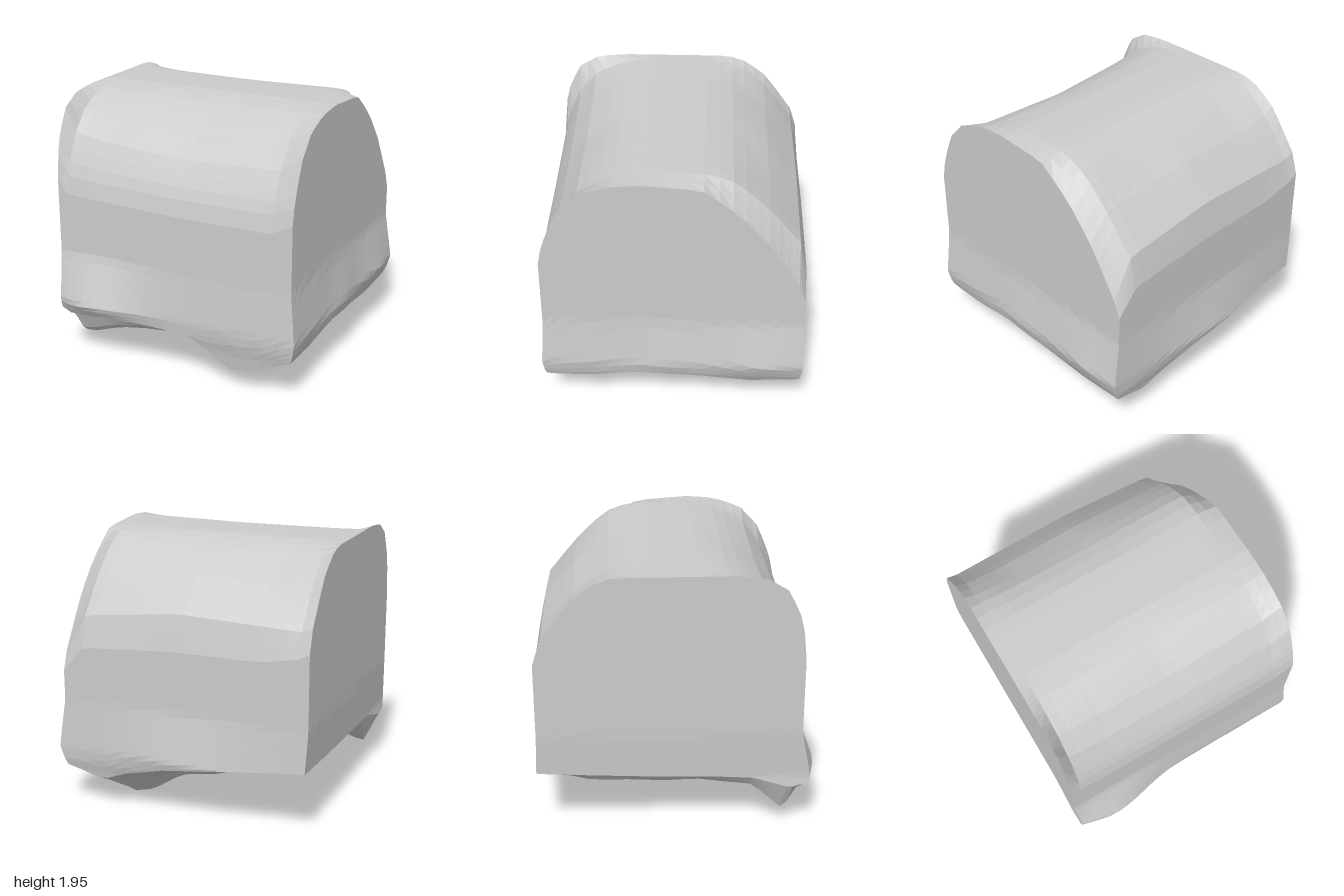
import * as THREE from 'three';

// Blend linearly through a small grid of heights: rows along z, columns along x
function span(knots, t) {
  let i = 0;
  while (i < knots.length - 2 && t > knots[i + 1]) i++;
  return [i, THREE.MathUtils.clamp((t - knots[i]) / (knots[i + 1] - knots[i]), 0, 1)];
}
function sample(grid, x, z) {
  const [i, a] = span(grid.xs, x);
  const [j, b] = span(grid.zs, z);
  const row = (r) => THREE.MathUtils.lerp(r[i], r[i + 1], a);
  return THREE.MathUtils.lerp(row(grid.rows[j]), row(grid.rows[j + 1]), b);
}

// Rounded top: raised lips at both ends, bevelled at one back corner
const top = {
  xs: [-0.95, -0.87, -0.6, 0, 0.72, 0.88],
  zs: [-0.95, -0.9, -0.7, -0.55, -0.4, -0.22, 0.2, 0.4, 0.6, 0.75, 0.85, 0.88],
  rows: [
    [1.34, 1.3, 1.25, 1.25, 1.2, 1.02],
    [1.5, 1.47, 1.48, 1.5, 1.42, 1.15],
    [1.78, 1.73, 1.7, 1.72, 1.66, 1.47],
    [1.9, 1.86, 1.81, 1.82, 1.81, 1.65],
    [1.95, 1.93, 1.91, 1.9, 1.92, 1.79],
    [1.95, 1.95, 1.95, 1.95, 1.95, 1.92],
    [1.95, 1.95, 1.95, 1.95, 1.95, 1.95],
    [1.95, 1.92, 1.91, 1.89, 1.91, 1.93],
    [1.93, 1.83, 1.8, 1.76, 1.8, 1.86],
    [1.84, 1.66, 1.62, 1.58, 1.6, 1.7],
    [1.62, 1.42, 1.4, 1.38, 1.38, 1.45],
    [1.34, 1.25, 1.24, 1.22, 1.22, 1.3],
  ],
};

// Broken underside: low points under three corners, hollows between
const base = {
  xs: [-0.95, -0.87, -0.6, -0.3, 0.1, 0.42, 0.62, 0.88],
  zs: [-0.95, -0.6, -0.2, 0.2, 0.55, 0.81, 0.88],
  rows: [
    [0.51, 0.51, 0.48, 0.45, 0.39, 0.3, 0.22, 0.3],
    [0.49, 0.42, 0.37, 0.31, 0.19, 0.06, -0.01, 0.27],
    [0.47, 0.41, 0.36, 0.31, 0.25, 0.16, 0.16, 0.33],
    [0.46, 0.4, 0.36, 0.33, 0.27, 0.19, 0.22, 0.36],
    [0.44, 0.35, 0.31, 0.31, 0.28, 0.1, 0.13, 0.3],
    [0.36, 0.12, 0.2, 0.28, 0.33, 0.12, 0.14, 0.3],
    [0.38, 0.34, 0.38, 0.37, 0.35, 0.14, 0.16, 0.31],
  ],
};

const bell = (t, centre, width) => Math.exp(-(((t - centre) / width) ** 2));

function blockGeometry() {
  const g = new THREE.BoxGeometry(2, 2, 2, 24, 16, 28);
  const p = g.attributes.position;
  for (let k = 0; k < p.count; k++) {
    const u = p.getX(k), v = p.getY(k), w = p.getZ(k);
    let x = -0.035 + 0.915 * u;
    let z = -0.035 + 0.915 * Math.sin(w * Math.PI / 2); // finer rows near front and back
    const hi = sample(top, x, z);
    const inner = (1 - u * u) * (1 - w * w);
    const lo = sample(base, x, z) + 0.04 * inner * Math.sin(9 * x + 4 * z) * Math.sin(11 * z - 3 * x);
    const y = lo + (hi - lo) * ((v + 1) / 2) ** 1.4;

    // Lower walls swell outward, then tuck in under the rim
    const swell = Math.max(0, 1 - Math.abs(y - 0.45) / (y > 0.45 ? 0.35 : 0.18));
    const tuck = 1 - 0.2 * Math.max(0, 0.35 - y);
    if (w > 0.999) z += swell * (0.02 + 0.105 * bell(x, -0.65, 0.35));
    if (w < -0.999) z -= swell * (0.01 + 0.045 * bell(x, -0.05, 0.5));
    if (u > 0.999) x += swell * (0.035 + 0.035 * bell(z, -0.65, 0.35) + 0.02 * bell(z, 0, 0.2));
    if (u < -0.999) x += swell * 0.02;
    p.setXYZ(k, x * tuck, y, z * tuck);
  }
  g.computeVertexNormals();
  return g;
}

export function createModel() {
  const group = new THREE.Group();
  group.name = 'stoneBlock';
  const material = new THREE.MeshStandardMaterial({ color: 0xcccccc, flatShading: true });
  const block = new THREE.Mesh(blockGeometry(), material);
  block.name = 'brokenBlock';
  group.add(block);
  return group;
}
